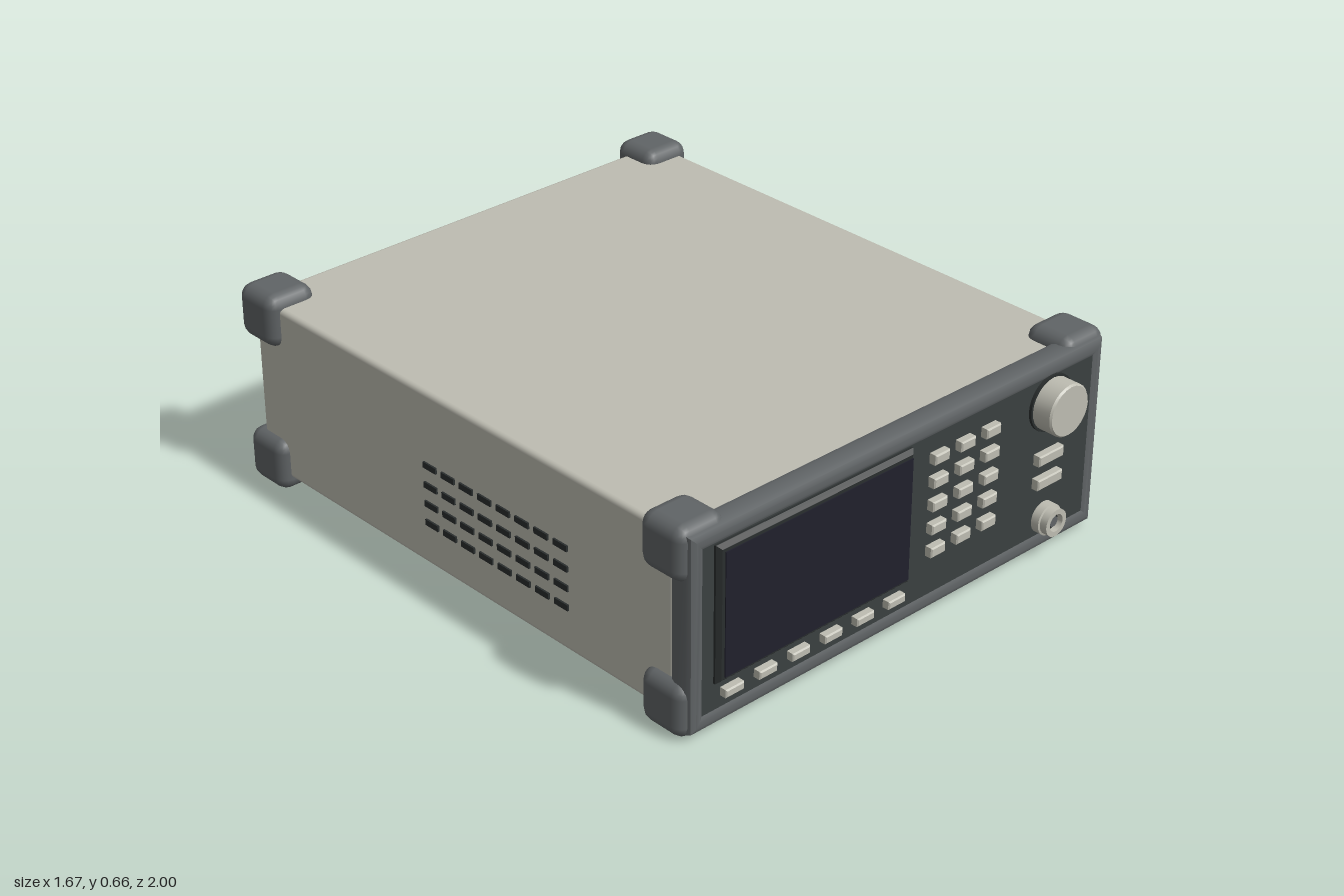
import * as THREE from 'three';
import { RoundedBoxGeometry } from 'three/addons/geometries/RoundedBoxGeometry.js';
import { toCreasedNormals } from 'three/addons/utils/BufferGeometryUtils.js';

export function createModel() {
  const model = new THREE.Group();
  model.name = 'benchInstrument';

  const material = (name, color) => {
    const m = new THREE.MeshStandardMaterial({ color });
    m.name = name;
    return m;
  };
  const casing = material('warmGreyCasing', 0xbebdb2);
  const rubber = material('greyRubber', 0x606466);
  const panelDark = material('darkPanel', 0x3a4040);
  const black = material('blackPlastic', 0x2a2e2e);
  const glass = material('screenGlass', 0x20202c);

  const add = (name, geometry, mat, x, y, z, parent = model) => {
    const mesh = new THREE.Mesh(geometry, mat);
    mesh.name = name;
    mesh.position.set(x, y, z);
    parent.add(mesh);
    return mesh;
  };
  const group = (name) => {
    const g = new THREE.Group();
    g.name = name;
    model.add(g);
    return g;
  };
  const rect = (Type, w, h) => {
    const s = new Type();
    s.moveTo(-w, -h);
    s.lineTo(w, -h);
    s.lineTo(w, h);
    s.lineTo(-w, h);
    s.closePath();
    return s;
  };
  // Straight block with a chamfered front, its front face at local z = 0
  const chamferedKey = (w, h, d, c) => {
    const g = new THREE.ExtrudeGeometry(rect(THREE.Shape, w / 2 - c, h / 2 - c), {
      depth: d - c, bevelEnabled: true, bevelSize: c, bevelThickness: c, bevelSegments: 1,
    });
    g.translate(0, 0, -d);
    return g;
  };

  // Main case
  add('case', new RoundedBoxGeometry(1.6, 0.57, 1.81, 2, 0.016), casing, 0, 0.335, -0.05);

  // Front bezel: chamfered frame around the control panel
  const frame = rect(THREE.Shape, 0.79, 0.288);
  frame.holes.push(rect(THREE.Path, 0.777, 0.27));
  const bezel = new THREE.ExtrudeGeometry(frame, {
    depth: 0.04, bevelEnabled: true, bevelSize: 0.02, bevelThickness: 0.022, bevelSegments: 2,
  });
  add('frontBezel', toCreasedNormals(bezel, 0.5), rubber, 0, 0.33, 0.868);
  add('frontPanel', new THREE.BoxGeometry(1.556, 0.542, 0.07), panelDark, 0, 0.332, 0.89);

  // Corner bumpers
  const bumpers = group('cornerBumpers');
  const bumperShape = new RoundedBoxGeometry(0.17, 0.17, 0.17, 2, 0.04);
  for (const x of [-0.748, 0.748]) {
    for (const y of [0.09, 0.574]) {
      for (const z of [0.833, -0.915]) add('cornerBumper', bumperShape, rubber, x, y, z, bumpers);
    }
  }

  // Feet
  const feet = group('feet');
  const footShape = new RoundedBoxGeometry(0.146, 0.07, 0.174, 2, 0.014);
  for (const x of [-0.535, 0.535]) {
    for (const z of [0.578, -0.652]) add('foot', footShape, black, x, 0.035, z, feet);
  }

  // Side vents
  const vents = group('sideVents');
  const slot = new THREE.BoxGeometry(0.009, 0.019, 0.056);
  for (const x of [-0.8015, 0.8015]) {
    for (const y of [0.383, 0.318, 0.256, 0.194]) {
      for (let i = 0; i < 8; i++) add('ventSlot', slot, black, x, y, 0.41 - i * 0.0796, vents);
    }
  }

  // Display
  add('screenSurround', chamferedKey(0.735, 0.428, 0.03, 0.012), black, -0.357, 0.371, 0.944);
  add('screen', new THREE.BoxGeometry(0.7, 0.388, 0.008), glass, -0.352, 0.369, 0.943);

  // Soft keys under the display
  const keys = group('keys');
  const softKey = chamferedKey(0.067, 0.026, 0.03, 0.004);
  for (let i = 0; i < 6; i++) add('softKey', softKey, casing, -0.666 + i * 0.1242, 0.121, 0.95, keys);

  // Number keypad
  const numberKey = chamferedKey(0.058, 0.032, 0.03, 0.004);
  for (let row = 0; row < 5; row++) {
    for (let col = 0; col < 3; col++) {
      add('numberKey', numberKey, casing, 0.116 + col * 0.105, 0.519 - row * 0.0745, 0.95, keys);
    }
  }

  // Wide function keys
  const wideKey = chamferedKey(0.105, 0.034, 0.03, 0.004);
  for (const y of [0.336, 0.257]) add('functionKey', wideKey, casing, 0.585, y, 0.95, keys);

  // Turned parts: profile of [radius, z] spun about the z axis
  const turned = (name, profile, sides, mat, x, y) => {
    const g = new THREE.LatheGeometry(profile.map(([r, z]) => new THREE.Vector2(r, z)), sides);
    g.rotateX(Math.PI / 2);
    add(name, toCreasedNormals(g, 0.5), mat, x, y, 0);
  };
  turned('knobCollar', [[0.089, 0.915], [0.089, 0.934], [0, 0.934]], 32, black, 0.587, 0.505);
  turned('knob', [[0.082, 0.92], [0.082, 0.994], [0.077, 1], [0, 1]], 24, casing, 0.587, 0.505);
  turned('connectorShell',
    [[0.05, 0.92], [0.05, 0.952], [0.044, 0.954], [0.044, 0.978], [0.028, 0.978], [0.028, 0.93]],
    24, casing, 0.59, 0.125);
  turned('connectorInsert', [[0.029, 0.92], [0.029, 0.958], [0, 0.958]], 24, black, 0.59, 0.125);
  turned('connectorPin', [[0.017, 0.93], [0.017, 0.968], [0, 0.968]], 16, rubber, 0.59, 0.125);

  return model;
}
